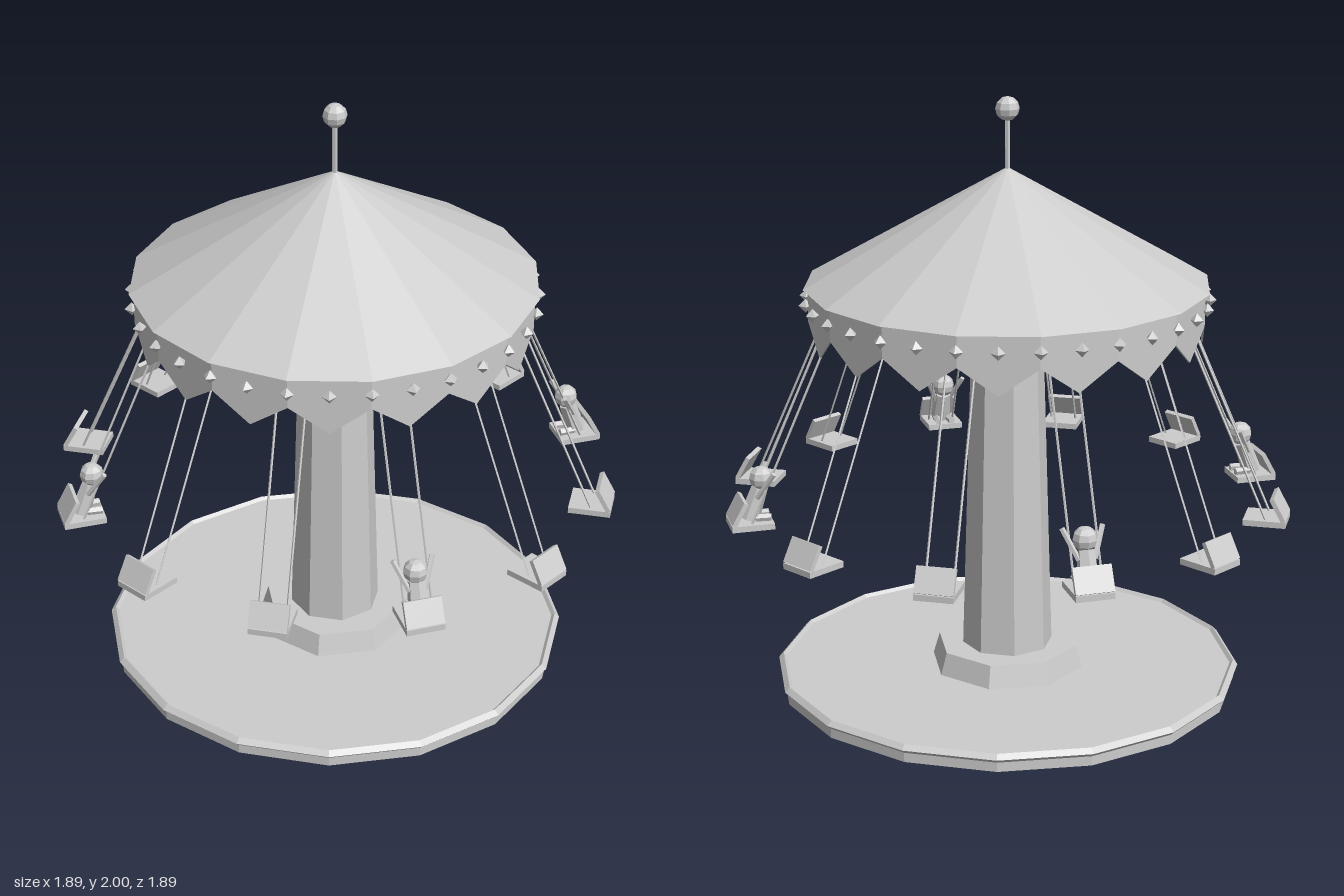
import * as THREE from 'three';

const grey = new THREE.MeshStandardMaterial({ color: 0xcccccc, flatShading: true });
grey.name = 'light grey';

function add(parent, name, geometry, x = 0, y = 0, z = 0) {
  const mesh = new THREE.Mesh(geometry, grey);
  mesh.name = name;
  mesh.position.set(x, y, z);
  parent.add(mesh);
  return mesh;
}

// Upright frustum standing between two heights
function frustum(parent, name, rTop, rBottom, y0, y1, sides, turn = 0) {
  const g = new THREE.CylinderGeometry(rTop, rBottom, y1 - y0, sides);
  g.rotateY(turn);
  return add(parent, name, g, 0, (y0 + y1) / 2, 0);
}

// Thin rod between two points
function rod(parent, name, from, to, radius, sides) {
  const a = new THREE.Vector3(...from), b = new THREE.Vector3(...to);
  const dir = b.clone().sub(a);
  const mesh = add(parent, name, new THREE.CylinderGeometry(radius, radius, dir.length(), sides));
  mesh.position.copy(a).add(b).multiplyScalar(0.5);
  mesh.quaternion.setFromUnitVectors(new THREE.Vector3(0, 1, 0), dir.normalize());
  return mesh;
}

// Chair hanging outwards along local +z, facing the column
function createSwing(hasRider) {
  const swing = new THREE.Group();
  swing.name = 'swing';
  add(swing, 'seat', new THREE.BoxGeometry(0.125, 0.02, 0.14), 0, 0.64, 0.875);

  // Backrest leaning inwards
  const back = new THREE.BoxGeometry(0.125, 0.085, 0.015);
  back.rotateX(-0.5);
  add(swing, 'backrest', back, 0, 0.688, 0.918);

  for (const s of [-1, 1]) {
    rod(swing, 'chain', [s * 0.045, 1.28, 0.6], [s * 0.045, 0.645, 0.88], 0.004, 4);
  }
  if (hasRider) {
    const rider = new THREE.Group();
    rider.name = 'rider';
    swing.add(rider);
    const torso = new THREE.CylinderGeometry(0.028, 0.035, 0.11, 6);
    torso.rotateX(-0.35);
    add(rider, 'torso', torso, 0, 0.705, 0.86);
    add(rider, 'head', new THREE.SphereGeometry(0.04, 8, 6), 0, 0.79, 0.835);
    for (const s of [-1, 1]) {
      rod(rider, 'arm', [s * 0.025, 0.73, 0.855], [s * 0.065, 0.82, 0.805], 0.009, 5);
      rod(rider, 'leg', [s * 0.02, 0.66, 0.865], [s * 0.025, 0.66, 0.81], 0.013, 5);
    }
  }
  return swing;
}

export function createModel() {
  const model = new THREE.Group();
  model.name = 'swingCarousel';
  const step = Math.PI / 8;

  // Platform with a raised diamond-section rim
  frustum(model, 'platform', 0.775, 0.775, 0, 0.05, 16, step / 2);
  const rim = new THREE.TorusGeometry(0.772, 0.016, 4, 16);
  rim.rotateX(Math.PI / 2);
  rim.rotateY(step / 2);
  add(model, 'platformRim', rim, 0, 0.045, 0);

  // Plinth and tapering column
  frustum(model, 'plinth', 0.24, 0.262, 0.05, 0.125, 8, Math.PI / 8);
  frustum(model, 'column', 0.118, 0.153, 0.125, 1.29, 8);

  // Canopy band and cone roof
  frustum(model, 'canopyBand', 0.655, 0.655, 1.28, 1.385, 16);
  const roof = new THREE.ConeGeometry(0.67, 0.385, 16);
  add(model, 'roof', roof, 0, 1.5775, 0);

  // Pointed pennants under each facet of the band
  const half = 0.655 * Math.sin(step / 2);
  const pennantShape = new THREE.Shape([
    new THREE.Vector2(-half, 0), new THREE.Vector2(0, -0.09), new THREE.Vector2(half, 0),
  ]);
  const pennant = new THREE.ExtrudeGeometry(pennantShape, { depth: 0.006, bevelEnabled: false });
  pennant.translate(0, 1.28, 0.655 * Math.cos(step / 2) - 0.006);
  for (let i = 0; i < 16; i++) {
    add(model, 'pennant', pennant).rotation.y = (i + 0.5) * step;
  }

  // Ring of bulbs around the band
  const bulb = new THREE.OctahedronGeometry(0.023);
  for (let i = 0; i < 32; i++) {
    const a = i * step / 2;
    const b = add(model, 'bulb', bulb, Math.sin(a) * 0.662, 1.333, Math.cos(a) * 0.662);
    b.rotation.y = a;
  }

  // Finial
  frustum(model, 'finialPole', 0.009, 0.009, 1.74, 1.94, 6);
  add(model, 'finialBall', new THREE.SphereGeometry(0.04, 8, 6), 0, 1.96, 0);

  // Twelve swings, every third one occupied
  for (let i = 0; i < 12; i++) {
    const swing = createSwing(i % 3 === 0);
    swing.rotation.y = THREE.MathUtils.degToRad(7.5 + i * 30);
    model.add(swing);
  }
  return model;
}
